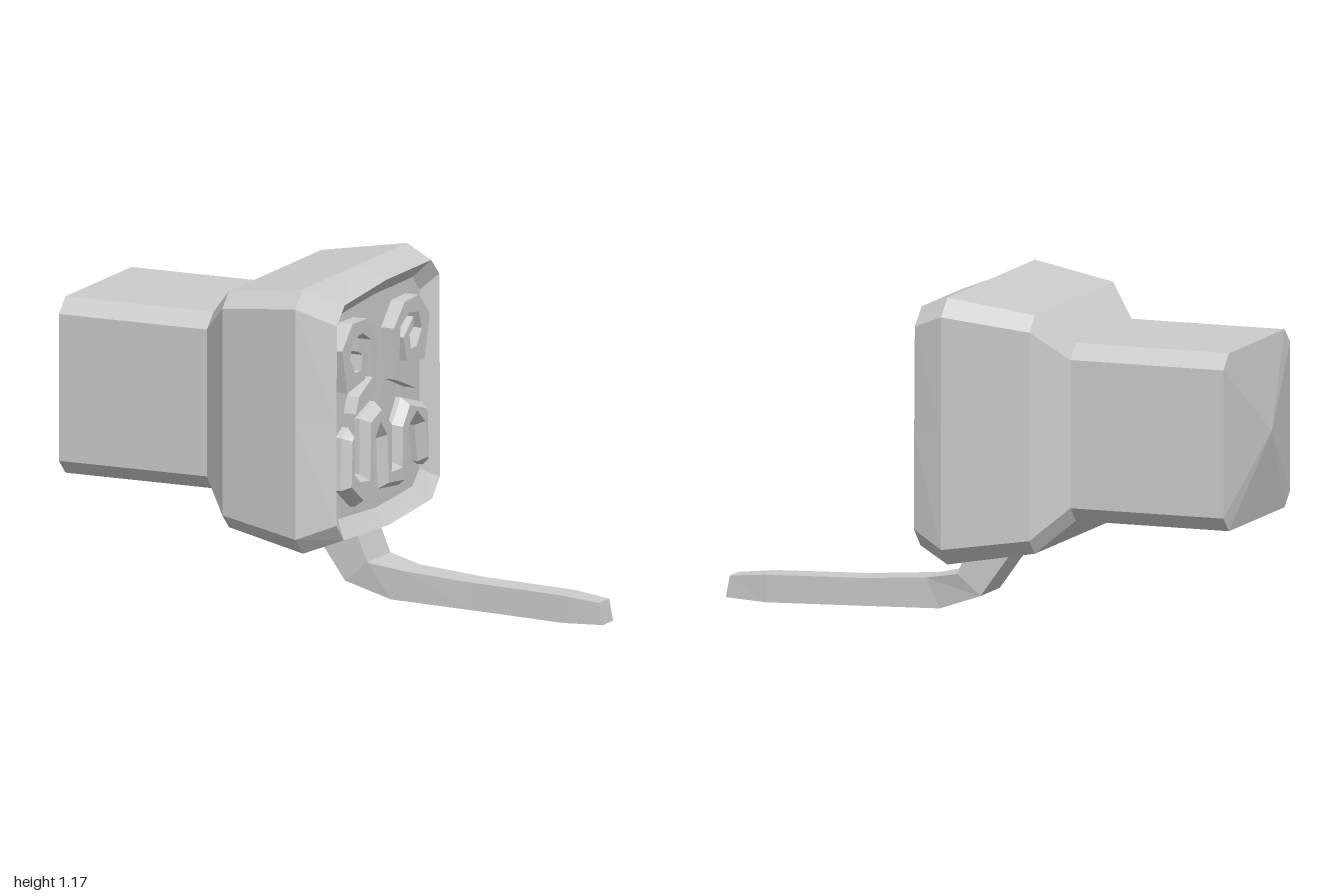
import * as THREE from 'three';

const material = new THREE.MeshStandardMaterial({ color: 0xcccccc, flatShading: true });

// Skin over rings of [x, y, z]; both ends are closed by a fan to a centre point.
function loft(name, rings, startTip, endTip) {
  const n = rings[0].length;
  const pos = [];
  const tri = (a, b, c) => pos.push(...a, ...b, ...c);
  const centre = (ring) => [0, 1, 2].map((k) => ring.reduce((s, p) => s + p[k], 0) / n);
  const last = rings[rings.length - 1];
  const start = startTip ?? centre(rings[0]);
  const end = endTip ?? centre(last);
  for (let j = 0; j < n; j++) {
    const k = (j + 1) % n;
    for (let i = 0; i < rings.length - 1; i++) {
      const [r, s] = [rings[i], rings[i + 1]];
      tri(r[j], r[k], s[k]);
      tri(r[j], s[k], s[j]);
    }
    tri(start, rings[0][k], rings[0][j]);
    tri(end, last[j], last[k]);
  }
  const geo = new THREE.BufferGeometry();
  geo.setAttribute('position', new THREE.Float32BufferAttribute(pos, 3));
  geo.computeVertexNormals();
  const mesh = new THREE.Mesh(geo, material);
  mesh.name = name;
  return mesh;
}

// Square section with cut corners, with extra points halfway along each side.
function cutSquare(x, y0, y1, z0, z1, c) {
  const y = (y0 + y1) / 2, z = (z0 + z1) / 2;
  return [
    [y1, z], [y1, z1 - c], [y1 - c, z1], [y, z1], [y0 + c, z1], [y0, z1 - c],
    [y0, z], [y0, z0 + c], [y0 + c, z0], [y, z0], [y1 - c, z0], [y1, z0 + c],
  ].map(([a, b]) => [x, a, b]);
}

// Slightly uneven ring for the screen frame; x grows a little towards the bottom.
const frameRing = (x, lean, pts) => pts.map(([y, z]) => [x + lean * (0.7 - y), y, z]);

// Raised relief on the screen: outline in [-z, y], pushed out along +x.
function relief(name, outline, x, depth, bevel) {
  const shape = new THREE.Shape(outline.map(([u, v]) => new THREE.Vector2(u, v)));
  const geo = new THREE.ExtrudeGeometry(shape, {
    depth: depth - bevel, bevelEnabled: bevel > 0, bevelSegments: 1,
    bevelThickness: bevel, bevelSize: bevel * 0.7, bevelOffset: -bevel * 0.7,
  });
  geo.rotateY(Math.PI / 2);
  const mesh = new THREE.Mesh(geo, material);
  mesh.position.x = x;
  mesh.name = name;
  return mesh;
}

export function createModel() {
  const group = new THREE.Group();
  group.name = 'boxHeadedMonitor';

  // Housing: boxy rear, flared head, rim and recessed screen in one skin
  group.add(loft('housing', [
    cutSquare(-0.945, 0.4, 1.02, -0.32, 0.3, 0.052),
    cutSquare(-0.38, 0.4, 1.02, -0.32, 0.3, 0.052),
    cutSquare(-0.27, 0.295, 1.125, -0.425, 0.405, 0.052),
    cutSquare(0.04, 0.243, 1.173, -0.466, 0.468, 0.06),
    frameRing(0.153, 0.012, [
      [1.13, -0.02], [1.105, 0.305], [1.043, 0.366], [0.7, 0.378], [0.348, 0.388], [0.286, 0.332],
      [0.27, -0.02], [0.295, -0.36], [0.36, -0.422], [0.7, -0.43], [1.07, -0.435], [1.13, -0.373],
    ]),
    frameRing(0.105, 0.012, [
      [1.075, -0.02], [1.055, 0.262], [0.99, 0.323], [0.7, 0.328], [0.4, 0.332], [0.345, 0.278],
      [0.327, -0.02], [0.345, -0.304], [0.395, -0.36], [0.7, -0.37], [1.02, -0.378], [1.075, -0.323],
    ]),
  ], [-1, 0.71, -0.01], [0.115, 0.7, -0.02]));

  // Spiral eyes, mirrored about the middle of the screen
  const eye = [
    [-0.23, 0.708], [-0.075, 0.767], [-0.059, 0.95], [-0.143, 1.028], [-0.255, 1.031],
    [-0.338, 0.95], [-0.298, 0.795], [-0.158, 0.817], [-0.134, 0.904], [-0.211, 0.963],
    [-0.211, 0.925], [-0.18, 0.907], [-0.189, 0.854], [-0.236, 0.854], [-0.276, 0.91],
    [-0.252, 0.972], [-0.18, 0.984], [-0.109, 0.947], [-0.099, 0.814], [-0.205, 0.764],
  ];
  group.add(relief('leftEye', eye, 0.095, 0.06, 0));
  group.add(relief('rightEye', eye.map(([u, v]) => [0.009 - u, v]), 0.095, 0.06, 0));

  // Wavy mouth with bevelled edges
  group.add(relief('mouth', [
    [-0.292, 0.634], [-0.301, 0.45], [-0.19, 0.373], [-0.075, 0.404], [-0.081, 0.578],
    [-0.05, 0.615], [-0.019, 0.581], [-0.009, 0.4], [0.155, 0.382], [0.193, 0.578],
    [0.233, 0.603], [0.276, 0.568], [0.301, 0.435], [0.342, 0.416], [0.339, 0.637],
    [0.171, 0.686], [0.102, 0.603], [0.099, 0.475], [0.058, 0.475], [0.062, 0.627],
    [-0.037, 0.714], [-0.149, 0.674], [-0.152, 0.481], [-0.199, 0.487], [-0.23, 0.51], [-0.242, 0.662],
  ], 0.095, 0.067, 0.032));

  // Long tongue-like foot curving out from under the head: [topX, topY, lowX, lowY, z0, z1]
  group.add(loft('foot', [
    [0.07, 0.29, -0.11, 0.29, -0.1, 0.08],
    [0.125, 0.155, 0.04, 0.083, -0.1, 0.08],
    [0.25, 0.13, 0.2, 0.026, -0.075, 0.048],
    [0.5, 0.112, 0.5, 0.015, -0.067, 0.036],
    [0.85, 0.1, 0.85, 0.004, -0.065, 0.035],
    [0.985, 0.086, 1, 0.01, -0.05, 0.03],
  ].map(([tx, ty, lx, ly, z0, z1]) => [[tx, ty, z0], [tx, ty, z1], [lx, ly, z1], [lx, ly, z0]])));

  return group;
}
